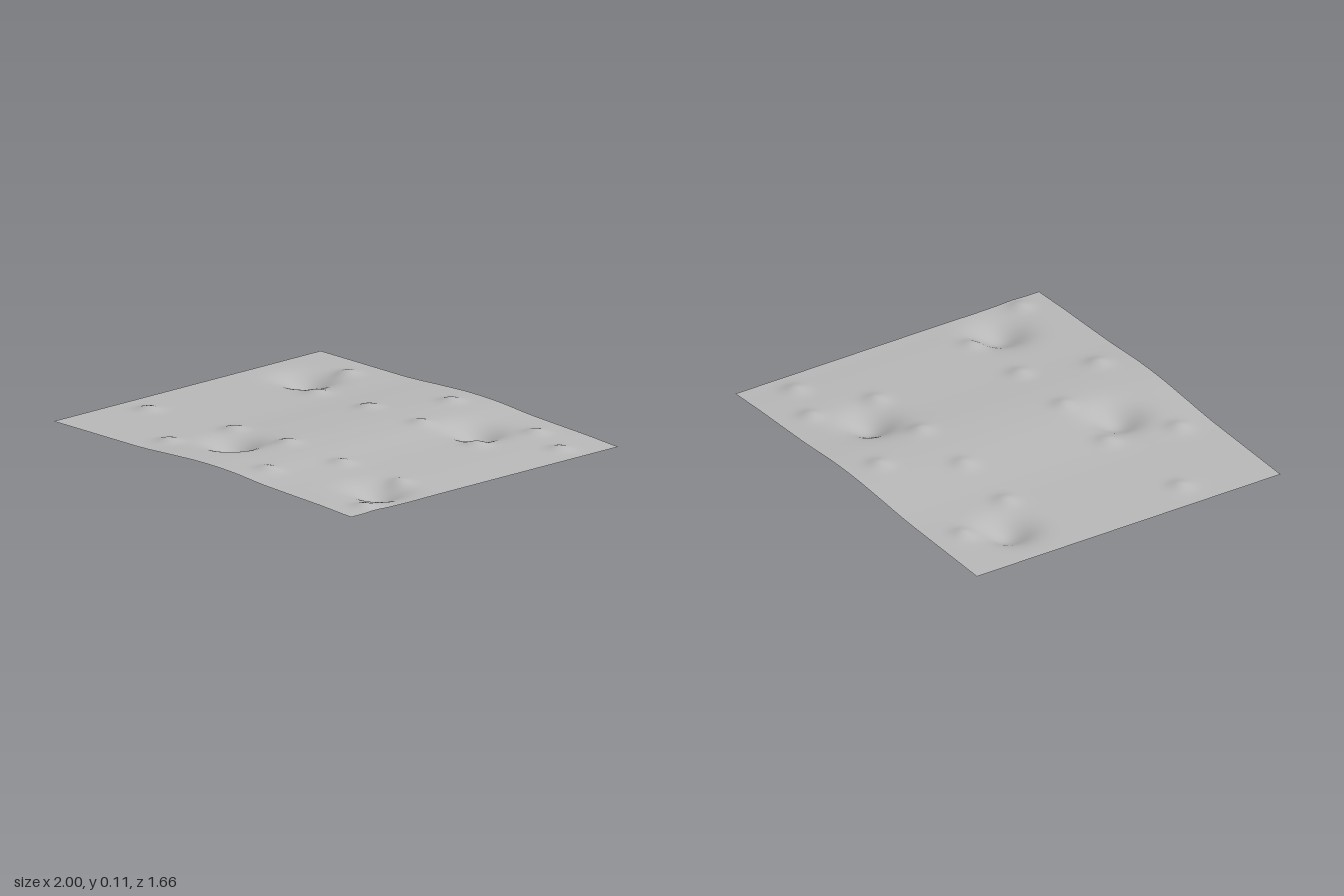
import * as THREE from 'three';

// Gentle ground profile, evenly spaced along x from -1 to 1
const ridge = new THREE.SplineCurve(
  [0.071, 0.072, 0.073, 0.075, 0.085, 0.093, 0.09, 0.076, 0.068, 0.061, 0.051]
    .map((y, i) => new THREE.Vector2(-1 + i * 0.2, y)));

// Craters: x, z, depth
const craters = [
  [-0.72, -0.48, 0.067], [0.42, -0.48, 0.069],
  [-0.17, 0.48, 0.07], [0.78, 0.47, 0.063],
];

// Small mounds: x, z
const mounds = [
  [-0.65, -0.67], [0.05, -0.67], [0.62, -0.67], [0.87, -0.59],
  [-0.51, -0.35], [-0.15, -0.34], [0.21, -0.34], [0.58, -0.34],
  [-0.84, 0.39], [-0.33, 0.33], [0.03, 0.33], [0.4, 0.33],
  [0.76, 0.31], [-0.4, 0.67], [0.27, 0.67], [0.93, 0.68],
];

const bell = (x, z, cx, cz, r) => Math.exp(-((x - cx) ** 2 + (z - cz) ** 2) / (2 * r * r));

function height(x, z) {
  let y = ridge.getPoint(THREE.MathUtils.clamp((x + 1) / 2, 0, 1)).y;
  for (const [cx, cz, depth] of craters) y -= depth * bell(x, z, cx, cz, 0.08);
  for (const [cx, cz] of mounds) y += 0.019 * bell(x, z, cx, cz, 0.038);
  return y;
}

export function createModel() {
  const group = new THREE.Group();
  group.name = 'terrain';

  const groundGrey = new THREE.MeshStandardMaterial({ color: 0xb8b8b8, side: THREE.DoubleSide });
  groundGrey.name = 'ground grey';

  // Thin open sheet displaced by the height rule
  const sheet = new THREE.PlaneGeometry(2, 1.66, 160, 132).rotateX(-Math.PI / 2);
  const pos = sheet.attributes.position;
  for (let i = 0; i < pos.count; i++) pos.setY(i, height(pos.getX(i), pos.getZ(i)));
  sheet.computeVertexNormals();

  // Rest the deepest crater on the floor
  sheet.computeBoundingBox();
  sheet.translate(0, -sheet.boundingBox.min.y, 0);

  const ground = new THREE.Mesh(sheet, groundGrey);
  ground.name = 'ground';
  group.add(ground);
  return group;
}
